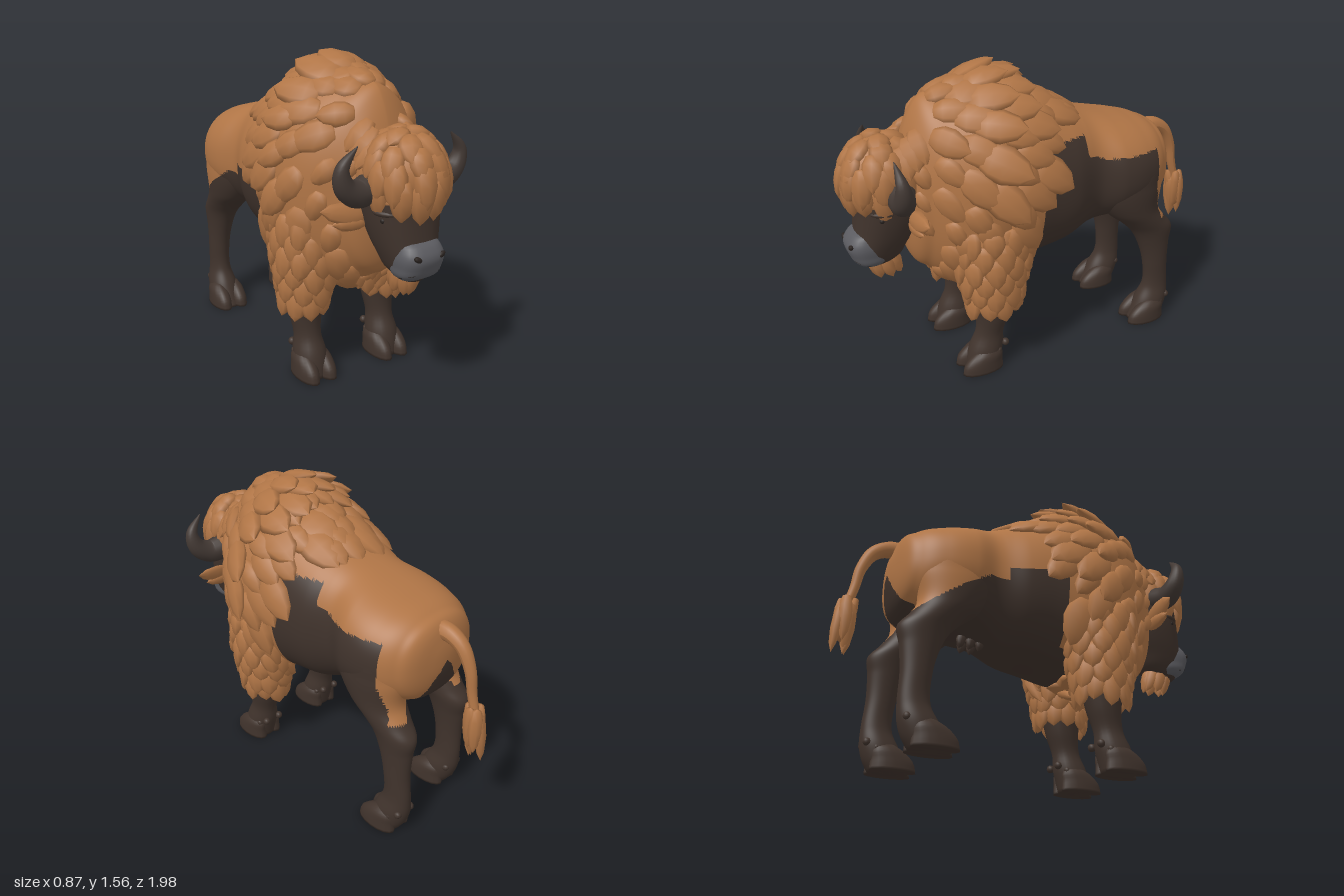
import * as THREE from 'three';
import { mergeGeometries } from 'three/addons/utils/BufferGeometryUtils.js';

const V = (x, y, z) => new THREE.Vector3(x, y, z);
const { clamp, mapLinear, lerp } = THREE.MathUtils;
const material = (name, color) => Object.assign(new THREE.MeshStandardMaterial({ color }), { name });

export function createModel() {
  const fur = material('brown fur', 0xb07546);
  const hide = material('dark hide', 0x40332c);
  const horn = material('horn', 0x433934);
  const muzzleGrey = material('muzzle grey', 0x5b5b60);
  const black = material('eye black', 0x2a2320);
  const model = new THREE.Group();
  model.name = 'bison';

  let seed = 7;
  const rand = () => (seed = (seed * 16807) % 2147483647) / 2147483647;
  const add = (name, geometry, mat) => {
    const mesh = new THREE.Mesh(geometry, mat);
    mesh.name = name;
    model.add(mesh);
  };

  // Where the dark hide shows; the two flanks are patched differently
  const isHide = (x, y, z) => {
    if (z > 0.1) return z < 0.32 && y < 0.6;
    if (y < 0.64 || Math.abs(x) < (0.94 - y) * 0.65) return true;
    if (x > 0) {
      if (z > -0.17) return y < 1.19;
      return y < 1.055 + 0.04 * clamp((z + 0.28) / 0.11, 0, 1) && z > -0.58 - Math.max(0, 0.85 - y) * 0.3;
    }
    return y < (z > -0.2 ? 0.95 : z > -0.3 ? 0.88 : 0.88 + (z + 0.3) * 0.65);
  };

  // Smooth interpolation through rows whose first number is the station
  const smooth = (rows) => {
    const f = new THREE.CubicInterpolant(rows.map((r) => r[0]), rows.flatMap((r) => r.slice(1)), rows[0].length - 1);
    return (t) => Array.from(f.evaluate(t));
  };
  const stations = (rows, n) => Array.from({ length: n + 1 }, (_, i) => lerp(rows[0][0], rows[rows.length - 1][0], i / n));
  const pw = (v, e) => Math.sign(v) * Math.abs(v) ** e;

  // Skin over closed rings with end caps; painted faces get group 1
  const skin = (rings, paint) => {
    const m = rings[0].length, pts = rings.flat(), faces = [[], []];
    const middle = (ring) => ring.reduce((s, p) => s.add(p), V(0, 0, 0)).divideScalar(m);
    const c0 = pts.push(middle(rings[0])) - 1;
    const c1 = pts.push(middle(rings[rings.length - 1])) - 1;
    const tri = (a, b, c) => {
      const p = V(0, 0, 0).add(pts[a]).add(pts[b]).add(pts[c]).divideScalar(3);
      faces[paint && paint(p.x, p.y, p.z) ? 1 : 0].push(a, b, c);
    };
    for (let j = 0; j < m; j++) {
      const k = (j + 1) % m, last = (rings.length - 1) * m;
      tri(c0, j, k);
      for (let i = 0; i < last; i += m) {
        tri(i + j, i + m + j, i + k);
        tri(i + k, i + m + j, i + m + k);
      }
      tri(c1, last + k, last + j);
    }
    const g = new THREE.BufferGeometry().setFromPoints(pts);
    g.setIndex([...faces[0], ...faces[1]]);
    if (paint) {
      g.addGroup(0, faces[0].length, 0);
      g.addGroup(faces[0].length, faces[1].length, 1);
    }
    g.computeVertexNormals();
    return g;
  };

  // Upright form from rows of [y, x, z, rx, rz]
  const column = (rows, { n = 24, m = 20, e = 1, paint } = {}) => {
    const f = smooth(rows);
    return skin(stations(rows, n).map((y) => {
      const [x, z, rx, rz] = f(y);
      return Array.from({ length: m }, (_, j) => {
        const a = (j / m) * Math.PI * 2;
        return V(x + rx * pw(Math.cos(a), e), y, z + rz * pw(Math.sin(a), e));
      });
    }), paint);
  };

  // One pointed lock of hair, root at the origin, tip at y = 1
  const lockShape = new THREE.LatheGeometry([[0, 0], [0.3, 0.04], [0.47, 0.25], [0.5, 0.5], [0.34, 0.8], [0, 1]]
    .map(([r, t]) => new THREE.Vector2(r, t)), 8);
  const lock = (list, p, dir, normal, len, wid, thk, lift = 0.12) => {
    const n = normal.clone().normalize();
    const d = dir.clone().addScaledVector(n, -dir.dot(n)).normalize().addScaledVector(n, lift).normalize();
    const x = d.clone().cross(n).normalize();
    const z = x.clone().cross(d);
    const basis = new THREE.Matrix4().makeBasis(x.multiplyScalar(wid), d.multiplyScalar(len), z.multiplyScalar(thk));
    list.push(lockShape.clone().applyMatrix4(basis.setPosition(p)));
  };

  // Body: rows of [z, top, bottom, half width]; the hump narrows to a ridge
  const bodyRows = [[-0.735, 0.98, 0.87, 0.05], [-0.71, 1.08, 0.77, 0.17], [-0.64, 1.14, 0.7, 0.265],
    [-0.52, 1.18, 0.68, 0.325], [-0.38, 1.215, 0.66, 0.335], [-0.25, 1.255, 0.63, 0.29], [-0.1, 1.32, 0.57, 0.33],
    [0.05, 1.4, 0.54, 0.345], [0.2, 1.48, 0.51, 0.36], [0.35, 1.5, 0.5, 0.37], [0.5, 1.46, 0.5, 0.315],
    [0.61, 1.4, 0.56, 0.225], [0.69, 1.2, 0.66, 0.15], [0.72, 1.05, 0.8, 0.06]];
  const bodyAt = smooth(bodyRows);
  const bodyPoint = (z, a) => {
    const [top, bottom, rx] = bodyAt(z);
    const e = Math.sin(a) > 0 ? 0.85 : lerp(0.83, 1.35, clamp((z + 0.2) / 0.45, 0, 1));
    return V(rx * pw(Math.cos(a), e), (top + bottom) / 2 - ((top - bottom) / 2) * pw(Math.sin(a), 0.9), z);
  };
  const bodyRings = stations(bodyRows, 180).map((z) =>
    Array.from({ length: 112 }, (_, j) => bodyPoint(z, (j / 112) * Math.PI * 2)));
  add('body', skin(bodyRings, isHide), [fur, hide]);

  // Mane: rows of locks swept back over the hump and down the sides
  const mane = [];
  const hem = (y) => (y > 1.2 ? mapLinear(Math.min(y, 1.36), 1.2, 1.36, 0.09, -0.05) : mapLinear(Math.max(y, 0.9), 0.9, 1.2, 0.19, 0.09));
  for (let row = 0, z0 = -0.04; z0 < 0.66; z0 += 0.088, row++) {
    for (let k = 0; k < 21; k++) {
      const a = ((k + (row % 2) / 2) / 21) * Math.PI * 2 + 0.001;
      const z = Math.min(0.66, z0 + (rand() - 0.5) * 0.05);
      const p = bodyPoint(z, a);
      if (z < hem(p.y) || (p.y < 0.6 && z < 0.3)) continue;
      const n = bodyPoint(z + 0.01, a).sub(p).cross(bodyPoint(z, a + 0.02).sub(p)).normalize();
      const back = clamp((p.y - 0.6) / 0.75, 0.12, 1);
      const size = (0.85 + rand() * 0.4) * (z > 0.5 ? 0.85 : 1);
      lock(mane, p.addScaledVector(n, -0.008), V((rand() - 0.5) * 0.2, -1.1 + back * 0.7, -back), n,
        0.22 * size, 0.145 * size, 0.07, z > 0.42 ? -0.1 : 0.06);
    }
  }
  // Chest fringe hanging below the throat in a point
  for (let i = -3; i <= 3; i++) {
    for (let r = 0; r < 3; r++) {
      lock(mane, V(i * 0.05, 0.6 + r * 0.09 + Math.abs(i) * 0.045, 0.54 + r * 0.035), V(-i * 0.06, -1, -0.1),
        V(i * 0.1, 0, 1), 0.18, 0.1, 0.07, 0.05);
    }
  }
  // Cheek and crown locks joining the head to the mane
  for (const s of [1, -1]) {
    for (let i = 0; i < 5; i++) {
      lock(mane, V(s * 0.165, 1.16 - i * 0.06, 0.66 - (i % 2) * 0.05), V(0, -1, -0.5), V(s, 0.1, 0.3), 0.13, 0.09, 0.06, 0.1);
    }
    for (let i = 0; i < 3; i++) {
      lock(mane, V(s * 0.07, 1.3 - i * 0.03, 0.63 + i * 0.04), V(s, -0.7, 0), V(s * 0.6, 0.7, 0.2), 0.18, 0.13, 0.08, -0.1);
    }
  }
  add('mane', mergeGeometries(mane), fur);

  // Legs, hooves and the shaggy fur on the forelegs
  for (const s of [1, -1]) {
    const side = s > 0 ? 'left' : 'right';
    const shift = s > 0 ? 0 : 0.06;
    const hind = [[0, 0.22, -0.6, 0.085, 0.095], [0.05, 0.22, -0.625, 0.08, 0.1], [0.12, 0.22, -0.65, 0.075, 0.095],
      [0.2, 0.22, -0.67, 0.057, 0.076], [0.35, 0.22, -0.66, 0.056, 0.074], [0.48, 0.215, -0.642, 0.066, 0.096],
      [0.57, 0.21, -0.62, 0.082, 0.125], [0.63, 0.205, -0.565, 0.098, 0.13], [0.7, 0.2, -0.5, 0.115, 0.15],
      [0.85, 0.195, -0.46, 0.135, 0.2], [1, 0.18, -0.46, 0.135, 0.19], [1.1, 0.15, -0.46, 0.08, 0.12]]
      .map(([y, x, z, rx, rz]) => [y, s * x, z + shift * Math.max(0, 1 - y), rx, rz]);
    add(side + ' hind leg', column(hind, { n: 90, m: 60, paint: isHide }), [fur, hide]);

    const fore = [[0, 0.22, 0.4, 0.085, 0.085], [0.06, 0.22, 0.39, 0.085, 0.09], [0.12, 0.22, 0.375, 0.08, 0.09],
      [0.2, 0.22, 0.355, 0.066, 0.075], [0.3, 0.22, 0.335, 0.08, 0.087], [0.45, 0.22, 0.33, 0.1, 0.12]]
      .map(([y, x, ...rest]) => [y, s * x, ...rest]);
    add(side + ' foreleg', column(fore), hide);

    for (const [part, z] of [['front', 0.415], ['hind', -0.59 + shift]]) {
      const bits = [];
      for (const t of [-1, 1]) {
        const x = s * 0.22 + t * 0.049;
        bits.push(column([[0, x, z, 0.05, 0.112], [0.05, x, z - 0.005, 0.049, 0.103], [0.1, x, z - 0.03, 0.04, 0.075],
          [0.125, x, z - 0.04, 0.02, 0.04]], { n: 10, m: 16 }));
        bits.push(new THREE.SphereGeometry(0.02, 10, 8).translate(x * 0.9 + s * 0.022, 0.13, z - 0.13));
        bits.push(new THREE.SphereGeometry(0.018, 10, 8).translate(x + t * 0.008, 0.105, z - 0.085));
      }
      bits.forEach((g) => g.deleteAttribute('uv'));
      add(`${side} ${part} hoof`, mergeGeometries(bits.map((g) => g.toNonIndexed())), hide);
    }

    add(side + ' shoulder', column([[0.38, s * 0.22, 0.325, 0.09, 0.11], [0.5, s * 0.225, 0.325, 0.115, 0.155],
      [0.7, s * 0.235, 0.335, 0.135, 0.19], [0.92, s * 0.22, 0.33, 0.12, 0.16]]), fur);
    const sleeve = [];
    for (let r = 0; r < 6; r++) {
      const y = 0.47 + r * 0.075, g = Math.min(1, r / 3);
      for (let k = 0; k < 10; k++) {
        const a = ((k + (r % 2) / 2) / 10) * Math.PI * 2;
        const n = V(Math.cos(a), 0, Math.sin(a));
        lock(sleeve, V(s * 0.225 + n.x * (0.098 + g * 0.035), y, 0.325 + n.z * (0.125 + g * 0.05)),
          V((rand() - 0.5) * 0.3, -1, -0.1), n, 0.14 + rand() * 0.04, 0.11, 0.055, 0.08);
      }
    }
    add(side + ' foreleg fur', mergeGeometries(sleeve), fur);
  }

  // Head with muzzle, nostrils, mouth and eyes
  add('head', column([[0.63, 0, 0.85, 0.05, 0.06], [0.67, 0, 0.84, 0.09, 0.11], [0.74, 0, 0.82, 0.122, 0.13],
    [0.82, 0, 0.79, 0.148, 0.15], [0.92, 0, 0.765, 0.168, 0.165], [1.05, 0, 0.74, 0.175, 0.18],
    [1.2, 0, 0.72, 0.13, 0.14]], { m: 28, e: 0.85 }), hide);
  add('muzzle', column([[0.645, 0, 0.875, 0.075, 0.05], [0.665, 0, 0.88, 0.1, 0.075], [0.71, 0, 0.885, 0.11, 0.095],
    [0.755, 0, 0.885, 0.114, 0.106], [0.79, 0, 0.88, 0.106, 0.098], [0.82, 0, 0.87, 0.088, 0.075],
    [0.835, 0, 0.86, 0.06, 0.04]], { m: 28, e: 0.75 }), muzzleGrey);
  add('mouth', new THREE.TubeGeometry(new THREE.CatmullRomCurve3([V(-0.1, 0.665, 0.9), V(-0.075, 0.685, 0.952),
    V(0, 0.69, 0.966), V(0.075, 0.685, 0.952), V(0.1, 0.665, 0.9)]), 20, 0.004, 6), black);
  for (const s of [1, -1]) {
    add('nostril', new THREE.SphereGeometry(1, 12, 8).scale(0.024, 0.013, 0.012).rotateZ(s * 0.5)
      .translate(s * 0.062, 0.765, 0.976), black);
    add('eye', new THREE.SphereGeometry(0.015, 12, 8).translate(s * 0.145, 0.915, 0.838), black);
    add('brow', new THREE.SphereGeometry(1, 14, 10).scale(0.03, 0.018, 0.06).rotateY(-s * 0.5)
      .translate(s * 0.135, 0.945, 0.835), hide);
  }

  // Forehead mop, locks falling forward from the crown
  const cap = V(0.165, 0.175, 0.185), capCentre = V(0, 1.1, 0.782);
  add('forehead', new THREE.SphereGeometry(1, 24, 16).scale(...cap).translate(...capCentre), fur);
  const mop = [];
  for (const [polar, count, len, lift] of [[2, 13, 0.09, 0], [1.55, 12, 0.19, -0.12], [1.15, 11, 0.19, -0.25],
    [0.75, 9, 0.17, -0.35], [0.35, 6, 0.14, -0.35], [0.05, 3, 0.12, -0.3]]) {
    for (let k = 0; k < count; k++) {
      const a = ((k + 0.3 + rand() * 0.4) / count) * Math.PI * 2 + Math.PI / 2;
      const n = V(Math.sin(polar) * Math.cos(a), Math.cos(polar), Math.sin(polar) * Math.sin(a));
      if (polar > 1.5 && n.z < 0.1) continue;
      lock(mop, n.clone().multiply(cap).add(capCentre), V(n.x * 0.6, -1, n.z * 0.6), n, len * (0.9 + rand() * 0.25), 0.11, 0.07, lift);
    }
  }
  add('forehead locks', mergeGeometries(mop), fur);

  // Chin beard, swept back
  const beard = [];
  for (let k = 0; k < 8; k++) {
    const a = (k / 8) * Math.PI * 2, n = V(Math.cos(a), 0, Math.sin(a));
    lock(beard, V(n.x * 0.04, 0.685, 0.825 + n.z * 0.06), V(-n.x * 0.2, -1, -0.3), n, 0.15, 0.075, 0.05, -n.z * 0.25);
  }
  add('beard', mergeGeometries(beard), fur);

  // Tube with a radius that follows t along the curve
  const taper = (points, n, radius) => {
    const curve = new THREE.CatmullRomCurve3(points);
    const g = new THREE.TubeGeometry(curve, n, 1, 14);
    const p = g.attributes.position, v = V(0, 0, 0);
    for (let i = 0; i < p.count; i++) {
      const t = Math.floor(i / 15) / n, c = curve.getPointAt(t);
      v.fromBufferAttribute(p, i).sub(c).multiplyScalar(radius(t)).add(c);
      p.setXYZ(i, v.x, v.y, v.z);
    }
    g.computeVertexNormals();
    return g;
  };
  for (const s of [1, -1]) {
    add('horn', taper([V(s * 0.14, 1.04, 0.74), V(s * 0.23, 1.025, 0.76), V(s * 0.3, 1.07, 0.77), V(s * 0.318, 1.15, 0.78),
      V(s * 0.25, 1.24, 0.79)], 28, (t) => 0.066 * (1 - t ** 1.6) + 0.002), horn);
    const ear = [];
    lock(ear, V(s * 0.13, 0.895, 0.7), V(s, 0.18, -0.2), V(0, 0.3, 1), 0.24, 0.1, 0.045, 0);
    lock(ear, V(s * 0.13, 0.87, 0.7), V(s, 0, -0.2), V(0, 0.3, 1), 0.18, 0.07, 0.05, 0);
    add('ear', mergeGeometries(ear), fur);
  }

  // Tail and its tuft
  add('tail', taper([V(0, 1.06, -0.65), V(0, 1.07, -0.73), V(0, 1.03, -0.81), V(0, 0.93, -0.865), V(0, 0.82, -0.887),
    V(0, 0.7, -0.92)], 28, (t) => 0.052 - 0.062 * t + 0.032 * t * t), fur);
  const tuft = [new THREE.SphereGeometry(1, 14, 12).scale(0.045, 0.11, 0.05).translate(0, 0.64, -0.922)];
  for (let k = 0; k < 7; k++) {
    const a = (k / 7) * Math.PI * 2, n = V(Math.cos(a), 0, Math.sin(a));
    lock(tuft, V(n.x * 0.03, 0.765 - (k % 2) * 0.04, -0.908 + n.z * 0.035), V(0, -1, 0), n,
      0.24 + (k % 2) * 0.02, 0.07, 0.05, -0.05 - n.z * 0.15);
  }
  add('tail tuft', mergeGeometries(tuft), fur);

  // Small tufts under the belly
  const belly = [];
  for (let i = 0; i < 5; i++) lock(belly, V((i % 2 - 0.5) * 0.06, 0.68, -0.24 - i * 0.025), V(0, -1, -0.2), V(1, 0, 0), 0.09, 0.05, 0.04, 0);
  add('belly tufts', mergeGeometries(belly), hide);

  return model;
}
